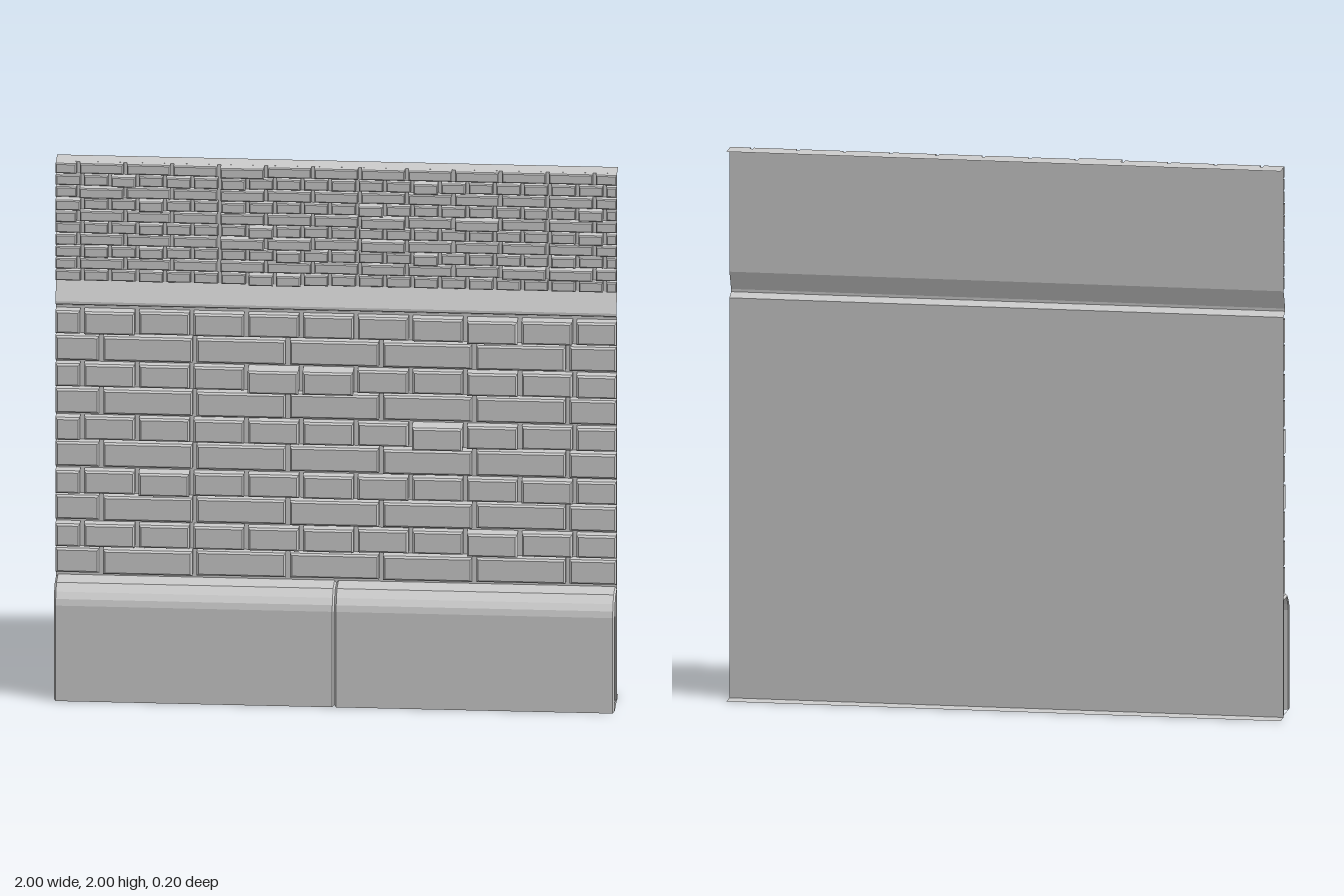
import * as THREE from 'three';
import { mergeGeometries } from 'three/addons/utils/BufferGeometryUtils.js';

const BACK = -0.035; // plane of the backing sheet
const material = new THREE.MeshStandardMaterial({ color: 0xcccccc, flatShading: true, side: THREE.DoubleSide });

let seed = 7;
const rand = () => (seed = (seed * 16807) % 2147483647) / 2147483647;

function add(parent, name, geometry) {
  const mesh = new THREE.Mesh(geometry, material);
  mesh.name = name;
  parent.add(mesh);
}

function toGeometry(positions) {
  const g = new THREE.BufferGeometry();
  g.setAttribute('position', new THREE.Float32BufferAttribute(positions, 3));
  g.computeVertexNormals();
  return g;
}

const quad = (out, a, b, c, d) => out.push(...a, ...b, ...c, ...a, ...c, ...d);

// Strip between two [z, y] profiles at x0 and x1
function loft(p0, x0, p1, x1) {
  const out = [];
  for (let i = 0; i < p0.length - 1; i++) {
    const at = (p, x, k) => [x, p[k][1], p[k][0]];
    quad(out, at(p0, x0, i), at(p0, x0, i + 1), at(p1, x1, i + 1), at(p1, x1, i));
  }
  return toGeometry(out);
}

// Brick with open back and chamfered front
function brick(x0, x1, y0, y1, front, c) {
  const loop = (i, z) => [[x0 + i, y0 + i, z], [x1 - i, y0 + i, z], [x1 - i, y1 - i, z], [x0 + i, y1 - i, z]];
  const loops = [loop(0, BACK), loop(0, front - c), loop(c, front)];
  const out = [];
  for (let l = 0; l < 2; l++)
    for (let k = 0; k < 4; k++) {
      const n = (k + 1) % 4;
      quad(out, loops[l][k], loops[l][n], loops[l + 1][n], loops[l + 1][k]);
    }
  quad(out, ...loops[2]);
  return toGeometry(out);
}

// One course of bricks, cut off at both ends of the panel
function course({ y0, y1, firstJoint, pitch, gap, chamfer, depth }) {
  const edges = [-1];
  for (let x = firstJoint; x < 0.995; x += pitch) edges.push(x);
  edges.push(1);
  const bricks = [];
  for (let i = 0; i < edges.length - 1; i++) {
    const a = edges[i] + (i ? gap / 2 : 0);
    const b = edges[i + 1] - (i < edges.length - 2 ? gap / 2 : 0);
    bricks.push(brick(a, b, y0, y1, depth(i), chamfer));
  }
  return mergeGeometries(bricks);
}

export function createModel() {
  const model = new THREE.Group();
  model.name = 'brickWallPanel';

  // Backing sheet with rear flanges and the projecting ledge
  const sheet = [[-0.1, 2], [BACK, 2], [BACK, 1.55], [0, 1.48], [0, 1.47], [BACK, 1.455], [BACK, 0], [-0.1, 0]];
  add(model, 'backingSheetWithLedge', loft(sheet, -1, sheet, 1));

  // Large bricks: alternating long and short courses
  const large = new THREE.Group();
  large.name = 'largeBricks';
  model.add(large);
  // Bricks standing proud, as row: { brick: front z }
  const proud = {
    1: { 8: 0.02 }, 3: { 2: 0.02 }, 5: { 7: 0.035 },
    7: { 4: 0.038, 5: 0.036 }, 9: { 1: 0.012, 8: 0.022, 9: 0.015 },
  };
  for (let r = 0; r < 10; r++) {
    const short = r % 2 === 1;
    const y0 = 0.45 + r * 0.101;
    add(large, 'largeBrickCourse', course({
      y0, y1: y0 + (short ? 0.086 : 0.092),
      firstJoint: short ? -0.905 : -0.837, pitch: short ? 0.195 : 0.3325,
      gap: 0.015, chamfer: 0.007,
      depth: (i) => proud[r]?.[i] ?? rand() * 0.012 - 0.002,
    }));
  }

  // Small bricks above the ledge
  const small = new THREE.Group();
  small.name = 'smallBricks';
  model.add(small);
  for (let r = 0; r < 10; r++) {
    const short = r % 2 === 0;
    const y0 = 1.556 + r * 0.0451;
    add(small, 'smallBrickCourse', course({
      y0, y1: y0 + 0.038,
      firstJoint: short ? -0.905 : -0.92, pitch: short ? 0.098 : 0.1673,
      gap: 0.012, chamfer: 0.004,
      depth: () => -0.012 + (rand() > 0.75 ? rand() * 0.02 : rand() * 0.005),
    }));
  }

  // Hollow plinth: two blocks, open below, with bevelled rims at their ends
  const B = 0.007;
  const outer = [[0.1, 0], [0.1, 0.362], [0.094, 0.385], [0.078, 0.407], [0.05, 0.432], [BACK, 0.432]];
  const inner = [[0.1 - B, B], [0.1 - B, 0.36], [0.088, 0.381], [0.073, 0.402], [0.048, 0.432 - B], [BACK + B, 0.432 - B]];
  const closed = (p, bottom, z) => [...p, [z, bottom], p[0]];
  const outerRim = closed(outer, 0, BACK);
  const innerRim = closed(inner, B, BACK + B);
  for (const x of [-1, 0]) {
    const block = new THREE.Group();
    block.name = 'plinthBlock';
    model.add(block);
    add(block, 'plinthShell', loft(outer, x + B, outer, x + 1 - B));
    add(block, 'plinthEndRim', loft(innerRim, x, outerRim, x + B));
    add(block, 'plinthEndRim', loft(outerRim, x + 1 - B, innerRim, x + 1));
  }
  return model;
}
